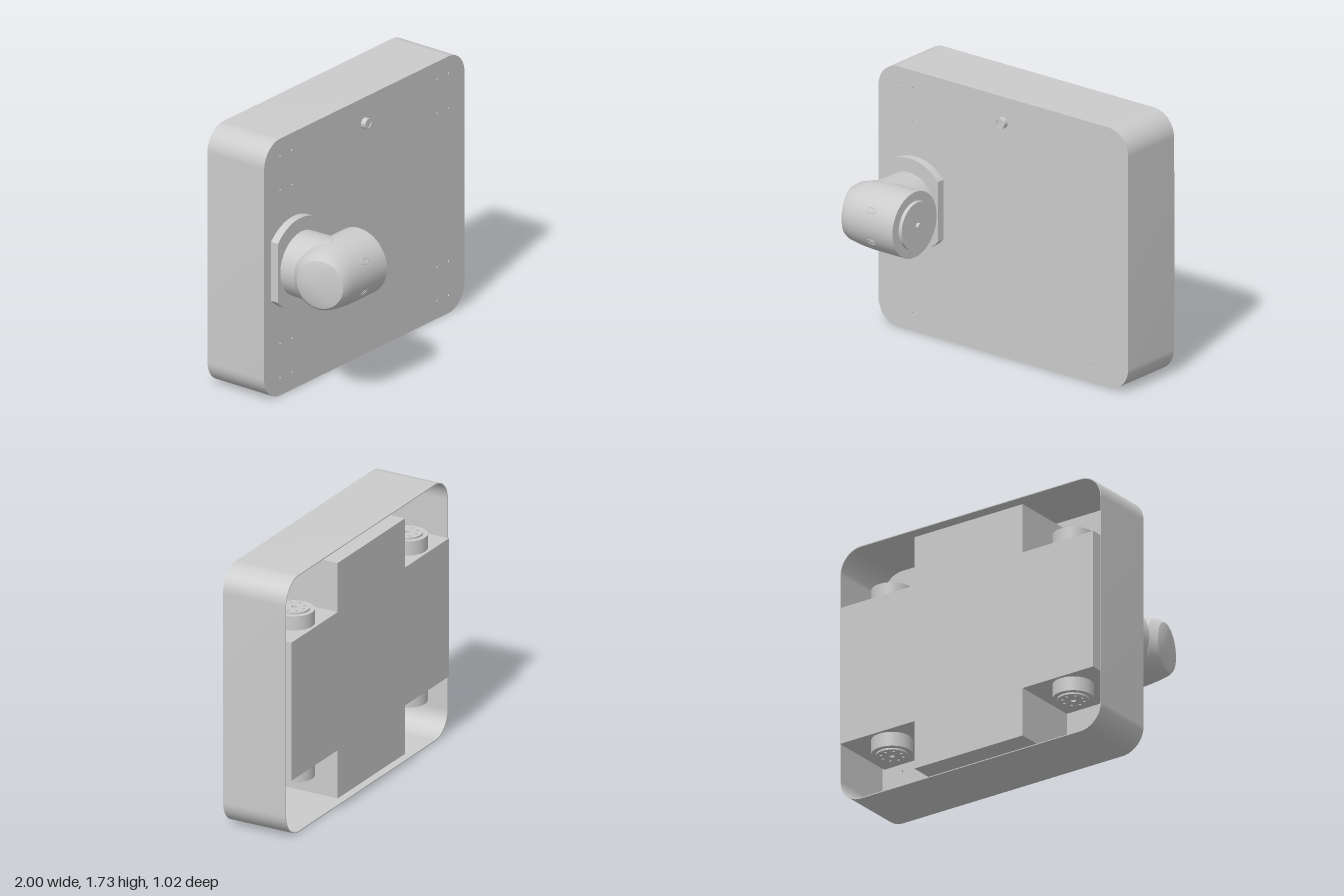
import * as THREE from 'three';
import { toCreasedNormals } from 'three/addons/utils/BufferGeometryUtils.js';

const grey = new THREE.MeshStandardMaterial({ color: 0xcccccc });
const CY = 0.865; // mid height

function roundedRect(target, hw, hh, r) {
  target.moveTo(-hw + r, CY - hh);
  target.lineTo(hw - r, CY - hh);
  target.absarc(hw - r, CY - hh + r, r, -Math.PI / 2, 0);
  target.lineTo(hw, CY + hh - r);
  target.absarc(hw - r, CY + hh - r, r, 0, Math.PI / 2);
  target.lineTo(-hw + r, CY + hh);
  target.absarc(-hw + r, CY + hh - r, r, Math.PI / 2, Math.PI);
  target.lineTo(-hw, CY - hh + r);
  target.absarc(-hw + r, CY - hh + r, r, Math.PI, Math.PI * 1.5);
  return target;
}

function circleHole(x, y, r) {
  const p = new THREE.Path();
  p.absarc(x, y, r, 0, Math.PI * 2, true);
  return p;
}

function extrude(shape, z0, z1, curveSegments = 12) {
  const g = new THREE.ExtrudeGeometry(shape, { depth: z1 - z0, bevelEnabled: false, curveSegments });
  return toCreasedNormals(g.translate(0, 0, z0), 0.5);
}

// Skin through rings, each given by its front and back point [x, z] and half height
function loft(rings, seg = 48) {
  const pos = [], idx = [];
  for (const [xf, zf, xb, zb, ry] of rings) {
    for (let j = 0; j <= seg; j++) {
      const t = (j / seg) * Math.PI * 2, s = Math.sin(t) / 2;
      pos.push((xf + xb) / 2 + (xf - xb) * s, CY + ry * Math.cos(t), (zf + zb) / 2 + (zf - zb) * s);
    }
  }
  for (let i = 0; i < rings.length - 1; i++) {
    for (let j = 0; j < seg; j++) {
      const a = i * (seg + 1) + j, c = a + seg + 1;
      idx.push(a, c, a + 1, a + 1, c, c + 1);
    }
  }
  const g = new THREE.BufferGeometry();
  g.setAttribute('position', new THREE.Float32BufferAttribute(pos, 3));
  g.setIndex(idx);
  return toCreasedNormals(g, 0.45);
}

export function createModel() {
  const model = new THREE.Group();
  const add = (name, geo, parent = model) => {
    const m = new THREE.Mesh(geo, grey);
    m.name = name;
    parent.add(m);
    return m;
  };
  const cylX = (r, x0, x1, seg = 48) =>
    new THREE.CylinderGeometry(r, r, x1 - x0, seg).rotateZ(-Math.PI / 2).translate((x0 + x1) / 2, CY, 0.29);
  const cylZ = (r0, r1, z0, z1, x, y) =>
    new THREE.CylinderGeometry(r1, r0, z1 - z0, 48).rotateX(Math.PI / 2).translate(x, y, (z0 + z1) / 2);

  // Thin housing wall, open at the back
  const wall = roundedRect(new THREE.Shape(), 1, CY, 0.16);
  wall.holes.push(roundedRect(new THREE.Path(), 0.994, CY - 0.006, 0.154));
  add('housingWall', extrude(wall, -0.48, -0.03));

  // Front plate with small screw holes
  const plate = roundedRect(new THREE.Shape(), 0.997, CY - 0.003, 0.157);
  for (const x of [-0.84, -0.725, 0.725, 0.84])
    for (const y of [0.12, 0.35, 1.385, 1.615]) plate.holes.push(circleHole(x, y, 0.006));
  add('frontPlate', extrude(plate, -0.042, -0.03));

  // Cross shaped core
  const [xl, xr, il, ir, yb, yt, jb, jt] = [-0.96, 0.98, -0.42, 0.41, 0.075, 1.66, 0.4, 1.33];
  const cross = new THREE.Shape([
    [il, yb], [ir, yb], [ir, jb], [xr, jb], [xr, jt], [ir, jt],
    [ir, yt], [il, yt], [il, jt], [xl, jt], [xl, jb], [il, jb],
  ].map(([x, y]) => new THREE.Vector2(x, y)));
  add('core', extrude(cross, -0.51, -0.042));

  // Motors in the four corner notches, axes vertical
  const disc = new THREE.Shape();
  disc.absarc(0, 0, 0.1, 0, Math.PI * 2);
  disc.holes.push(circleHole(0, 0, 0.018));
  for (let i = 0; i < 8; i++) {
    const a = (i / 8) * Math.PI * 2;
    disc.holes.push(circleHole(0.07 * Math.cos(a), 0.07 * Math.sin(a), 0.009));
  }
  const faceGeo = extrude(disc, 0, 0.012).rotateX(-Math.PI / 2);
  for (const x of [-0.7, 0.69]) {
    for (const up of [true, false]) {
      const motor = new THREE.Group();
      motor.name = 'motor';
      motor.position.set(x, up ? jt : jb, -0.36);
      if (!up) motor.rotation.x = Math.PI;
      add('motorBody', new THREE.CylinderGeometry(0.13, 0.13, 0.095, 40).translate(0, 0.0475, 0), motor);
      add('motorFace', faceGeo, motor).position.y = 0.095;
      model.add(motor);
    }
  }

  // Pin near the top of the plate
  const pin = new THREE.Shape();
  pin.absarc(0, 1.56, 0.035, 0, Math.PI * 2);
  pin.holes.push(circleHole(0, 1.56, 0.027));
  add('pinRing', extrude(pin, -0.03, 0.005));
  add('pinCore', cylZ(0.027, 0.027, -0.03, -0.002, 0, 1.56));

  // Arm flange: a disc cut straight on both sides
  const AX = -0.705, R = 0.3, a = Math.acos(0.225 / R);
  const flange = new THREE.Shape();
  flange.absarc(AX, CY, R, a, Math.PI - a);
  flange.absarc(AX, CY, R, Math.PI + a, Math.PI * 2 - a);
  flange.closePath();
  add('armFlange', extrude(flange, -0.03, 0.024, 24));

  // Arm elbow: neck along z, barrel along x closed by a tilted cap
  const arm = new THREE.Group();
  arm.name = 'arm';
  model.add(arm);
  add('neckCollar', cylZ(0.2, 0.2, 0.02, 0.04, AX, CY), arm);
  add('neck', cylZ(0.212, 0.217, 0.032, 0.29, AX, CY), arm);
  add('barrel', loft([
    [-0.45, 0.29, -0.45, 0.29, 0],
    [-0.45, 0.507, -0.45, 0.073, 0.217],
    [-0.7, 0.507, -0.7, 0.073, 0.217],
    [-0.79, 0.507, -0.82, 0.085, 0.205],
    [-0.845, 0.504, -0.91, 0.13, 0.185],
    [-0.87, 0.493, -0.95, 0.19, 0.16],
    [-0.888, 0.455, -0.955, 0.23, 0.12],
    [-0.91, 0.39, -0.945, 0.29, 0.05],
    [-0.93, 0.34, -0.93, 0.34, 0],
  ]), arm);
  add('outputDisc', cylX(0.157, -0.452, -0.425), arm);
  add('outputShaft', cylX(0.02, -0.43, -0.405, 20), arm);

  // Oval bolt seats on the front of the barrel
  for (const s of [-1, 1]) {
    const bolt = new THREE.Group();
    bolt.name = 'boltSeat';
    bolt.position.set(-0.64, CY + s * 0.105, 0.29 + 0.189);
    bolt.rotation.x = -s * 0.507;
    add('boltRim', new THREE.TorusGeometry(0.019, 0.003, 8, 24).scale(1.7, 1, 1), bolt);
    add('boltHead', new THREE.CylinderGeometry(0.012, 0.012, 0.008, 16).rotateX(Math.PI / 2), bolt);
    arm.add(bolt);
  }
  return model;
}
